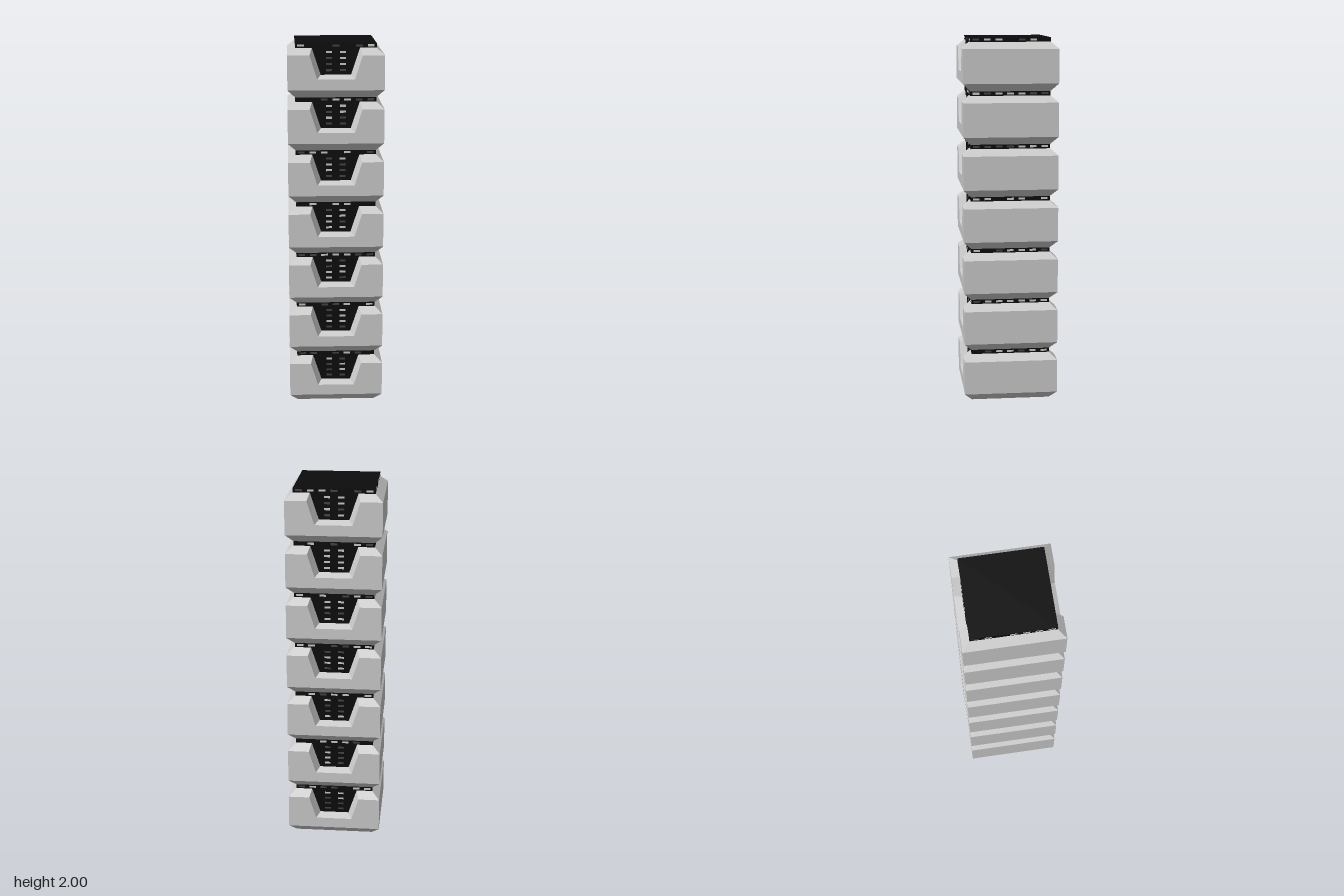
import * as THREE from 'three';
import { mergeGeometries } from 'three/addons/utils/BufferGeometryUtils.js';

const LEVELS = 7, PITCH = 2 / LEVELS;
const OUT = 0.2567, CORE = 0.2157;      // half widths of cladding and core
const Y0 = 0.042, Y1 = 0.226, Y2 = 0.262; // lower chamfer, upper chamfer, cladding top

// One cladding face looking along +z, optionally with a tapered notch
function faceQuads(notched) {
  const quads = [];
  const quad = (...p) => quads.push(p);
  const o = (x, y) => [x, y, OUT];
  const i = (x, y) => [x, y, CORE];
  quad(i(-CORE, 0), i(CORE, 0), o(OUT, Y0), o(-OUT, Y0));
  if (!notched) {
    quad(o(-OUT, Y0), o(OUT, Y0), o(OUT, Y1), o(-OUT, Y1));
    quad(o(-OUT, Y1), o(OUT, Y1), i(CORE, Y2), i(-CORE, Y2));
    return quads;
  }
  const ob = 0.1, ot = 0.14, ib = 0.08, it = 0.127; // notch half widths
  const yo = 0.1, yi = 0.12;                        // sloping sill
  quad(o(-OUT, Y0), o(OUT, Y0), o(OUT, yo), o(-OUT, yo));
  quad(o(-ob, yo), o(ob, yo), i(ib, yi), i(-ib, yi));
  for (const s of [-1, 1]) {
    const side = [
      [o(s * ob, yo), o(s * OUT, yo), o(s * OUT, Y1), o(s * ot, Y1)],
      [o(s * ot, Y1), o(s * OUT, Y1), i(s * CORE, Y2), i(s * it, Y2)],
      [i(s * ib, yi), o(s * ob, yo), o(s * ot, Y1), i(s * it, Y2)],
    ];
    // the mirrored half needs its corners reversed
    side.forEach((q) => quads.push(s > 0 ? q : q.reverse()));
  }
  return quads;
}

function claddingGeometry() {
  const parts = [];
  for (let k = 0; k < 4; k++) {
    const pos = [];
    for (const [a, b, c, d] of faceQuads(k % 2 === 0)) pos.push(...a, ...b, ...c, ...a, ...c, ...d);
    const g = new THREE.BufferGeometry();
    g.setAttribute('position', new THREE.Float32BufferAttribute(pos, 3));
    parts.push(g.rotateY(k * Math.PI / 2));
  }
  const g = mergeGeometries(parts);
  g.computeVertexNormals();
  return g;
}

function seeded(seed) {
  return () => (seed = (seed * 16807) % 2147483647) / 2147483647;
}

export function createModel() {
  const model = new THREE.Group();
  model.name = 'tower';
  const tower = new THREE.Group();
  tower.name = 'towerBody';
  tower.rotation.y = Math.PI / 4;
  model.add(tower);

  const add = (name, geo, color, y = 0) => {
    const mesh = new THREE.Mesh(geo, new THREE.MeshStandardMaterial({ color, flatShading: true, side: THREE.DoubleSide }));
    mesh.name = name;
    mesh.position.y = y;
    tower.add(mesh);
  };

  // Dark core running the full height
  add('core', new THREE.BoxGeometry(CORE * 2, 2, CORE * 2), 0x0c0c0c, 1);

  // Cladding ring on every storey
  const cladding = claddingGeometry();
  for (let n = 0; n < LEVELS; n++) add('cladding' + (n + 1), cladding, 0xcccccc, n * PITCH);

  // Lit and dim windows in the bands and notches
  const random = seeded(4711);
  const lit = [], dim = [];
  const addWindow = (side, x, y, w) => {
    const g = new THREE.BoxGeometry(w, 0.011, 0.002).translate(x, y, CORE);
    (random() < 0.6 ? lit : dim).push(g.rotateY(side * Math.PI / 2));
  };
  for (let n = 0; n < LEVELS; n++) {
    const base = n * PITCH;
    for (let side = 0; side < 4; side++) {
      for (let c = -3; c <= 3; c++) {
        if (random() < 0.75) addWindow(side, c * 0.062, base + 0.274, 0.036);
      }
      if (side % 2 === 0) {
        for (let r = 0; r < 4; r++) {
          for (const x of [-0.037, 0.037]) addWindow(side, x, base + 0.144 + r * 0.032, 0.032);
        }
      }
    }
  }
  add('litWindows', mergeGeometries(lit), 0xcccccc);
  add('dimWindows', mergeGeometries(dim), 0x444444);
  return model;
}
